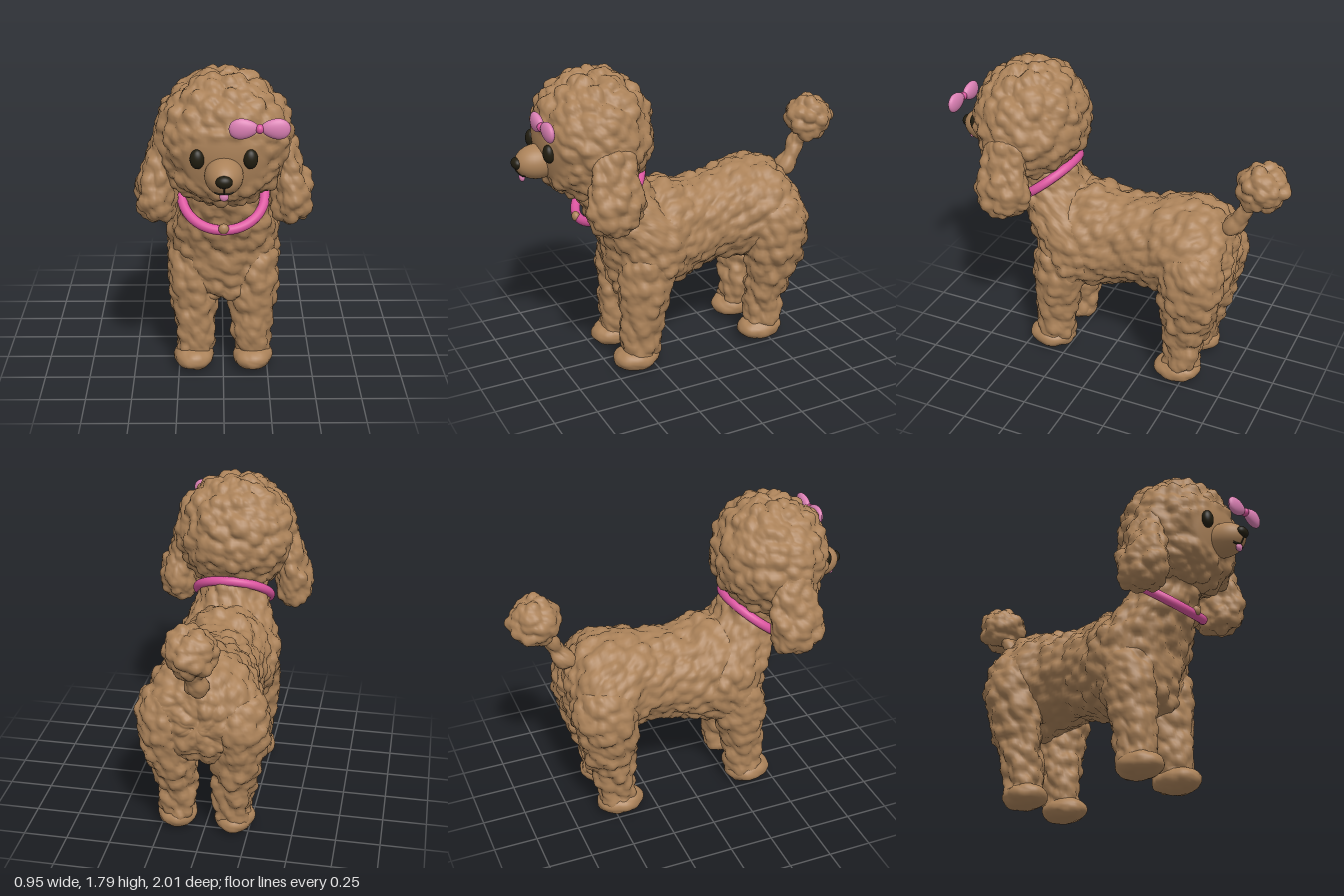
import * as THREE from 'three';
import { mergeVertices } from 'three/addons/utils/BufferGeometryUtils.js';

const mat = (name, color) => {
  const m = new THREE.MeshStandardMaterial({ color });
  m.name = name;
  return m;
};

// Rounded curls: domes around scattered points, one per grid cell
const hash = (x, y, z, k) => {
  const s = Math.sin(x * 127.1 + y * 311.7 + z * 74.7 + k * 53.3) * 43758.5453;
  return s - Math.floor(s);
};
function domes(p, size) {
  const x = p.x / size, y = p.y / size, z = p.z / size;
  const X = Math.floor(x), Y = Math.floor(y), Z = Math.floor(z);
  let best = 0;
  for (let i = X - 1; i <= X + 1; i++)
    for (let j = Y - 1; j <= Y + 1; j++)
      for (let k = Z - 1; k <= Z + 1; k++) {
        const dx = i + hash(i, j, k, 1) - x, dy = j + hash(i, j, k, 2) - y, dz = k + hash(i, j, k, 3) - z;
        const h = (0.7 + 0.5 * hash(i, j, k, 4)) * (1 - dx * dx - dy * dy - dz * dz);
        if (h > best) best = h;
      }
  return best;
}
const curl = p => domes(p, 0.068) + 0.3 * domes(p, 0.036) - 0.85;

// Push a closed surface in and out along its normals
function fluff(geometry, amount) {
  geometry.deleteAttribute('uv');
  geometry.deleteAttribute('normal');
  const g = mergeVertices(geometry, 1e-4);
  g.computeVertexNormals();
  const pos = g.attributes.position, nor = g.attributes.normal;
  const p = new THREE.Vector3(), n = new THREE.Vector3();
  for (let i = 0; i < pos.count; i++) {
    p.fromBufferAttribute(pos, i);
    n.fromBufferAttribute(nor, i);
    p.addScaledVector(n, curl(p) * (typeof amount === 'function' ? amount(p) : amount));
    pos.setXYZ(i, p.x, Math.max(p.y, 0.005), p.z);
  }
  g.computeVertexNormals();
  return g;
}

// Elliptical sections [x, y, z, halfWidth, halfDepth], listed downward (axis y) or backward (axis z)
function loft(rings, axis, segs, rows, side = 1) {
  const centre = new THREE.CatmullRomCurve3(rings.map(r => new THREE.Vector3(r[0] * side, r[1], r[2])));
  const size = new THREE.CatmullRomCurve3(rings.map(r => new THREE.Vector3(r[3], r[4], axis === 'y' ? r[1] : r[2])));
  const pos = [], idx = [];
  for (let i = 0; i <= rows; i++) {
    const t = size.getUtoTmapping(i / rows);
    const c = centre.getPoint(t), s = size.getPoint(t);
    const a = Math.max(s.x, 0), b = Math.max(s.y, 0);
    for (let j = 0; j < segs; j++) {
      const q = j / segs * Math.PI * 2, u = a * Math.cos(q), v = b * Math.sin(q);
      if (axis === 'y') pos.push(c.x + u, c.y, c.z + v);
      else pos.push(c.x + u, c.y - v, c.z);
      if (i < rows) {
        const k = i * segs + j, l = i * segs + (j + 1) % segs;
        idx.push(k, l, k + segs, l, l + segs, k + segs);
      }
    }
  }
  const g = new THREE.BufferGeometry();
  g.setAttribute('position', new THREE.Float32BufferAttribute(pos, 3));
  g.setIndex(idx);
  return g;
}

const ellipsoid = (x, y, z, rx, ry, rz, w = 32, h = 20) =>
  new THREE.SphereGeometry(1, w, h).scale(rx, ry, rz).translate(x, y, z);

export function createModel() {
  const model = new THREE.Group();
  const fur = mat('brown fur', 0xab8259), dark = mat('dark eyes and nose', 0x211d10);
  const pink = mat('bow pink', 0xdb80b4), collarPink = mat('collar pink', 0xdb559f);
  const add = (name, geometry, material) => {
    const m = new THREE.Mesh(geometry, material);
    m.name = name;
    model.add(m);
    return m;
  };
  const AMP = 0.042;

  // Trunk from chest to rump
  add('trunk', fluff(loft([
    [0, 0.74, 0.42, 0, 0], [0, 0.74, 0.37, 0.18, 0.2], [0, 0.76, 0.27, 0.27, 0.3], [0, 0.765, 0.15, 0.285, 0.335],
    [0, 0.77, 0, 0.265, 0.29], [0, 0.805, -0.2, 0.255, 0.265], [0, 0.815, -0.35, 0.285, 0.29],
    [0, 0.8, -0.5, 0.33, 0.315], [0, 0.785, -0.62, 0.3, 0.275], [0, 0.775, -0.7, 0.2, 0.18], [0, 0.77, -0.725, 0, 0],
  ], 'z', 120, 100), AMP), fur);

  // Chest rising into the neck
  add('chestAndNeck', fluff(loft([
    [0, 1.32, 0.52, 0, 0], [0, 1.3, 0.52, 0.17, 0.17], [0, 1.22, 0.48, 0.19, 0.2], [0, 1.1, 0.42, 0.2, 0.215],
    [0, 1, 0.355, 0.24, 0.235], [0, 0.87, 0.255, 0.3, 0.275], [0, 0.7, 0.215, 0.31, 0.265],
    [0, 0.53, 0.255, 0.27, 0.19], [0, 0.44, 0.3, 0.18, 0.11], [0, 0.41, 0.3, 0, 0],
  ], 'y', 110, 80), AMP), fur);

  // Head puff, smooth over the face
  const faceBlend = p => {
    if (p.z < 0.6) return AMP;
    const d = Math.hypot(p.x / 0.23, (p.y - 1.37) / 0.155);
    return AMP * THREE.MathUtils.smoothstep(d, 0.8, 1.1);
  };
  add('head', fluff(loft([
    [0, 1.785, 0.52, 0, 0], [0, 1.755, 0.52, 0.14, 0.135], [0, 1.68, 0.525, 0.25, 0.235], [0, 1.58, 0.53, 0.325, 0.3],
    [0, 1.45, 0.53, 0.355, 0.322], [0, 1.32, 0.53, 0.34, 0.308], [0, 1.2, 0.55, 0.28, 0.25],
    [0, 1.12, 0.56, 0.16, 0.15], [0, 1.09, 0.56, 0, 0],
  ], 'y', 130, 90), faceBlend), fur);

  // Muzzle, nose, mouth and tongue
  add('muzzle', ellipsoid(0, 1.32, 0.845, 0.098, 0.095, 0.128), fur);
  add('nose', ellipsoid(0, 1.327, 0.962, 0.042, 0.032, 0.03), dark);
  const onMuzzle = (x, y) => new THREE.Vector3(x, y,
    0.845 + 0.128 * Math.sqrt(Math.max(0, 1 - (x / 0.098) ** 2 - ((y - 1.32) / 0.095) ** 2)));
  const line = points => new THREE.TubeGeometry(
    new THREE.CatmullRomCurve3(points.map(p => onMuzzle(...p))), 16, 0.006, 8);
  add('mouth', line([[-0.045, 1.262], [-0.02, 1.258], [0, 1.26], [0.02, 1.258], [0.045, 1.262]]), dark);
  add('lipCrease', line([[0, 1.31], [0, 1.285], [0, 1.26]]).scale(0.6, 1, 1), dark);
  add('tongue', ellipsoid(0, 1.242, 0.937, 0.023, 0.023, 0.016), pink);

  for (const s of [1, -1]) {
    const sideName = s > 0 ? 'left' : 'right';
    add(sideName + 'Eye', ellipsoid(s * 0.133, 1.402, 0.828, 0.037, 0.051, 0.032), dark);

    // Hanging ear
    add(sideName + 'Ear', fluff(loft([
      [0.28, 1.5, 0.53, 0, 0], [0.3, 1.44, 0.53, 0.055, 0.09], [0.335, 1.3, 0.54, 0.08, 0.13],
      [0.355, 1.17, 0.545, 0.1, 0.155], [0.355, 1.07, 0.55, 0.105, 0.15], [0.345, 1, 0.55, 0.08, 0.1],
      [0.34, 0.97, 0.55, 0, 0],
    ], 'y', 64, 50, s), AMP), fur);

    // Legs and paws
    add(sideName + 'FrontLeg', fluff(loft([
      [0.17, 0.82, 0.27, 0, 0], [0.17, 0.72, 0.275, 0.12, 0.14], [0.17, 0.55, 0.29, 0.138, 0.16],
      [0.165, 0.4, 0.31, 0.13, 0.135], [0.16, 0.25, 0.325, 0.112, 0.12], [0.16, 0.12, 0.33, 0.1, 0.11],
      [0.16, 0.04, 0.33, 0.08, 0.08], [0.16, 0.02, 0.33, 0, 0],
    ], 'y', 64, 64, s), 0.034), fur);
    add(sideName + 'HindLeg', fluff(loft([
      [0.17, 0.98, -0.52, 0, 0], [0.185, 0.9, -0.53, 0.135, 0.145], [0.2, 0.77, -0.54, 0.165, 0.183],
      [0.2, 0.6, -0.53, 0.152, 0.175], [0.18, 0.45, -0.52, 0.13, 0.15], [0.165, 0.3, -0.495, 0.115, 0.12],
      [0.16, 0.14, -0.48, 0.102, 0.105], [0.16, 0.04, -0.47, 0.08, 0.08], [0.16, 0.02, -0.47, 0, 0],
    ], 'y', 70, 70, s), AMP), fur);
    for (const [name, z] of [['FrontPaw', 0.36], ['HindPaw', -0.46]])
      add(sideName + name, fluff(ellipsoid(s * 0.165, 0.078, z, 0.113, 0.072, 0.138, 40, 28), 0.012), fur);
  }

  // Tail with pompom
  add('tailStalk', fluff(loft([
    [0, 1.26, -0.83, 0, 0], [0, 1.22, -0.81, 0.055, 0.05], [0, 1.1, -0.745, 0.05, 0.05],
    [0, 1, -0.69, 0.065, 0.065], [0, 0.94, -0.65, 0, 0],
  ], 'y', 40, 30), 0.025), fur);
  add('tailPompom', fluff(ellipsoid(0, 1.3, -0.855, 0.138, 0.136, 0.138, 60, 44), AMP), fur);

  // Tilted collar with a small round tag
  const collar = add('collar', new THREE.TorusGeometry(0.222, 0.027, 16, 64), collarPink);
  collar.position.set(0, 1.075, 0.445);
  collar.rotation.x = 2.227;
  add('collarTag', ellipsoid(0, 0.955, 0.64, 0.028, 0.028, 0.022), fur);

  // Bow: two loops widening away from a knot
  for (const s of [1, -1]) {
    const g = new THREE.SphereGeometry(1, 32, 20);
    const p = g.attributes.position;
    for (let i = 0; i < p.count; i++) p.setY(i, p.getY(i) * (0.92 + 0.2 * s * p.getX(i)));
    g.scale(0.074, 0.056, 0.028).rotateZ(-s * 0.06).translate(0.175 + s * 0.078, 1.572, 0.872);
    g.computeVertexNormals();
    add(s > 0 ? 'bowLeftLoop' : 'bowRightLoop', g, pink);
  }
  add('bowKnot', ellipsoid(0.175, 1.572, 0.876, 0.021, 0.024, 0.024), collarPink);

  return model;
}
